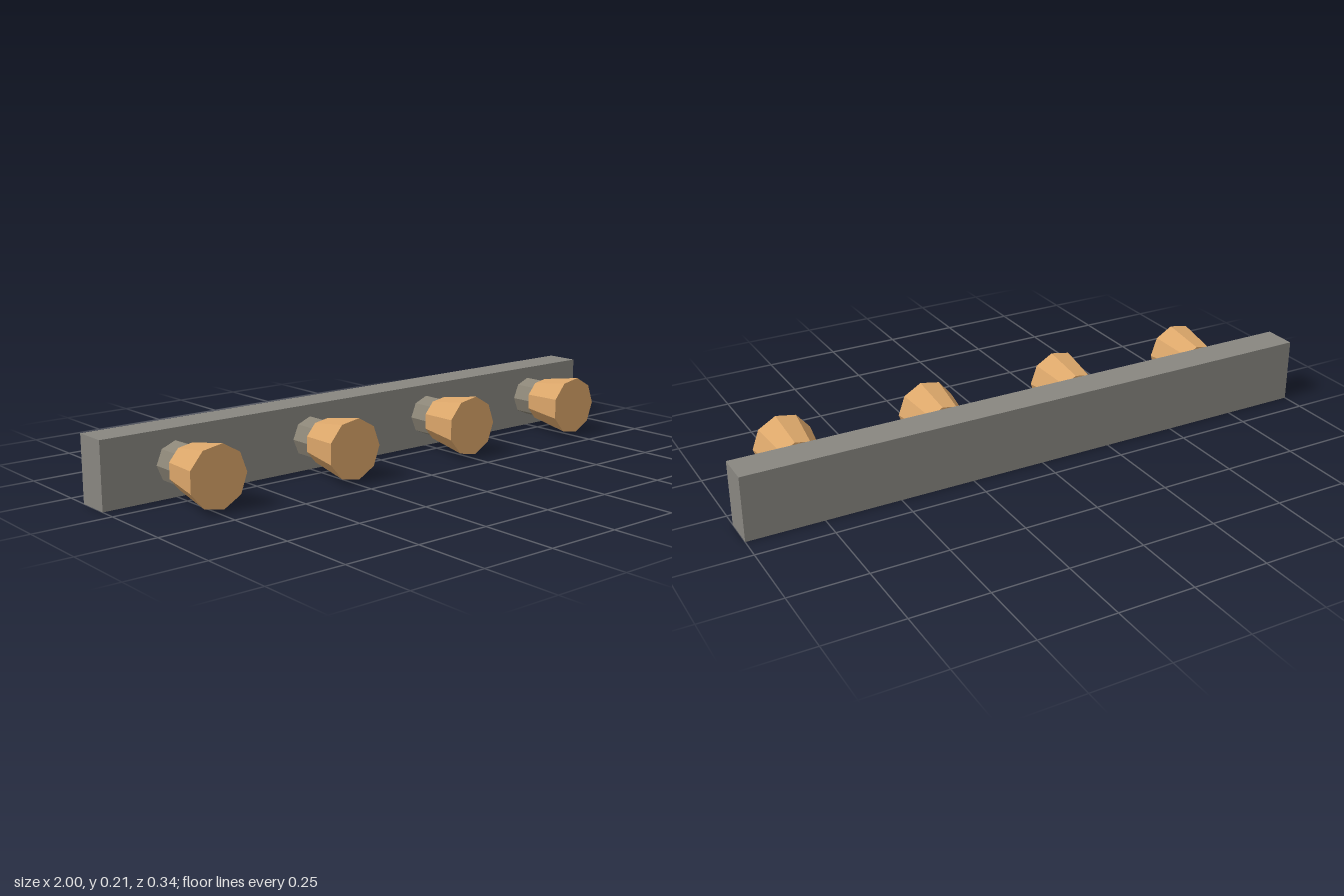
import * as THREE from 'three';

export function createModel() {
  const group = new THREE.Group();
  const material = (color) => new THREE.MeshStandardMaterial({ color, flatShading: true });
  const barMat = material(0x888680);
  const stemMat = material(0x8c8677);
  const knobMat = material(0xdba66a);
  const midY = 0.108;

  function add(name, geometry, mat, x, y, z) {
    const mesh = new THREE.Mesh(geometry, mat);
    mesh.name = name;
    mesh.position.set(x, y, z);
    group.add(mesh);
  }

  // Faceted cylinder along z, with one corner pointing to +x
  const peg = (frontRadius, backRadius, length, sides) =>
    new THREE.CylinderGeometry(frontRadius, backRadius, length, sides, 1, false, Math.PI / 2)
      .rotateX(Math.PI / 2);

  // Wall bar
  add('bar', new THREE.BoxGeometry(2, 0.214, 0.113), barMat, 0, 0.107, -0.1135);

  // Four hooks: a thin stem carrying a flared wooden knob
  const stem = peg(0.067, 0.067, 0.075, 8);
  const knob = peg(0.0995, 0.0735, 0.153, 9);
  for (let i = 0; i < 4; i++) {
    const x = -0.75 + i * 0.5;
    add('stem' + (i + 1), stem, stemMat, x, midY, -0.0195);
    add('knob' + (i + 1), knob, knobMat, x, midY, 0.0945);
  }
  return group;
}
